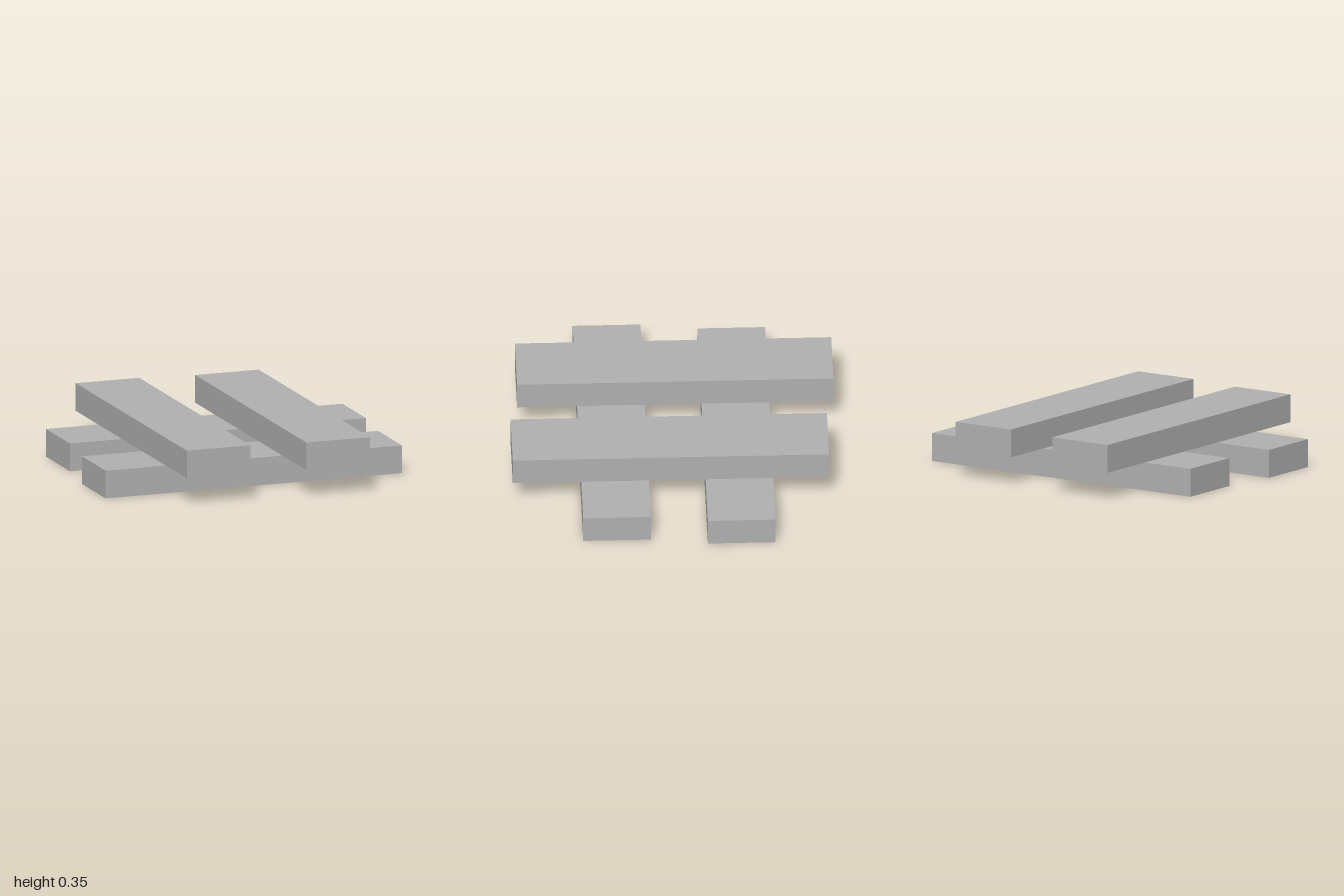
import * as THREE from 'three';

const THICK = 0.175, WIDTH = 0.417, LENGTH = 1.948;

export function createModel() {
  const group = new THREE.Group();
  group.name = 'crossedPlanks';
  const grey = new THREE.MeshStandardMaterial({ color: 0xb0b0b0 });
  grey.name = 'grey';

  // Each layer holds two parallel planks, staggered lengthwise
  const across = [-0.396, 0.37];
  const stagger = 0.026;

  across.forEach((offset, i) => {
    const shift = i === 0 ? -stagger : stagger;

    // Lower planks run along x
    const lower = new THREE.Mesh(new THREE.BoxGeometry(LENGTH, THICK, WIDTH), grey);
    lower.name = i === 0 ? 'lowerBackPlank' : 'lowerFrontPlank';
    lower.position.set(-shift, THICK / 2, offset);

    // Upper planks run along z, resting on the lower ones
    const upper = new THREE.Mesh(new THREE.BoxGeometry(WIDTH, THICK, LENGTH), grey);
    upper.name = i === 0 ? 'upperRightPlank' : 'upperLeftPlank';
    upper.position.set(offset, THICK * 1.5, shift);

    group.add(lower, upper);
  });
  return group;
}
